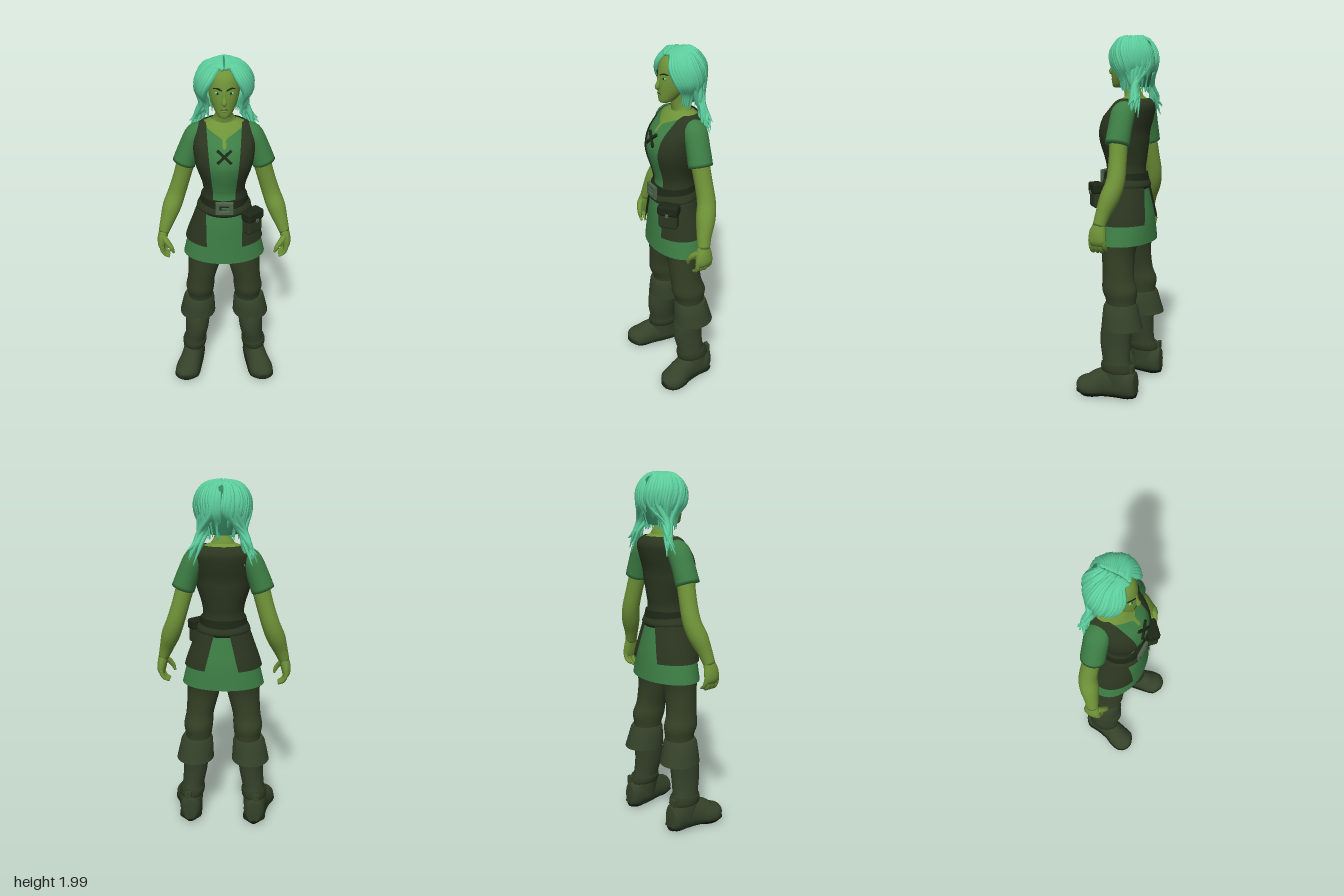
import * as THREE from 'three';
import { mergeVertices, toCreasedNormals } from 'three/addons/utils/BufferGeometryUtils.js';
import { RoundedBoxGeometry } from 'three/addons/geometries/RoundedBoxGeometry.js';

const mat = (name, color, open) => {
  const m = new THREE.MeshStandardMaterial({ color });
  m.name = name;
  if (open) m.side = THREE.DoubleSide;
  return m;
};
const V = (x, y, z) => new THREE.Vector3(x, y, z);

// Catmull-Rom interpolation of equally long rows of numbers, k steps per span
function spline(rows, k) {
  const out = [], n = rows.length, at = i => rows[Math.max(0, Math.min(n - 1, i))];
  for (let i = 0; i < n - 1; i++) for (let s = 0; s < k; s++) {
    const t = s / k;
    out.push(at(i).map((b, c) => {
      const a = at(i - 1)[c], d = at(i + 1)[c], e = at(i + 2)[c];
      return b + 0.5 * t * (d - a + t * (2 * a - 5 * b + 4 * d - e + t * (3 * (b - d) + e - a)));
    }));
  }
  out.push(rows[n - 1]);
  return out;
}

// Skin over rows of points; optional end caps
function skinOver(rows, caps) {
  const pos = [], idx = [], w = rows[0].length;
  rows.forEach(r => r.forEach(p => pos.push(p.x, p.y, p.z)));
  for (let i = 0; i < rows.length - 1; i++) for (let j = 0; j < w - 1; j++) {
    const a = i * w + j, d = a + w;
    idx.push(a, a + 1, d + 1, a, d + 1, d);
  }
  if (caps) [0, rows.length - 1].forEach(i => {
    const c = rows[i].slice(1).reduce((s, p) => s.add(p), V(0, 0, 0)).divideScalar(w - 1), ci = pos.length / 3;
    pos.push(c.x, c.y, c.z);
    for (let j = 0; j < w - 1; j++) i ? idx.push(ci, i * w + j, i * w + j + 1) : idx.push(ci, j + 1, j);
  });
  let g = new THREE.BufferGeometry();
  g.setAttribute('position', new THREE.Float32BufferAttribute(pos, 3));
  g.setIndex(idx);
  g = mergeVertices(g, 1e-5);
  g.computeVertexNormals();
  return g;
}

// Level rings, bottom to top: [y, cx, cz, rx, rz, startAngle, endAngle]
function loft(rows, { k = 4, n = 36, caps = false } = {}) {
  return skinOver(spline(rows, k).map(([y, cx, cz, rx, rz, a = 0, b = Math.PI * 2]) =>
    Array.from({ length: n + 1 }, (_, j) => {
      const t = a + (b - a) * j / n;
      return V(cx + rx * Math.sin(t), y, cz + rz * Math.cos(t));
    })), caps);
}

// Capped rings square to a path: [x, y, z, ra, rb], rb defaulting to ra
function sweep(rows, { n = 14, ref = V(0, 0, 1) } = {}) {
  const R = spline(rows.map(([x, y, z, ra, rb = ra]) => [x, y, z, ra, rb]), 4), P = R.map(r => V(r[0], r[1], r[2]));
  return skinOver(R.map((r, i) => {
    const T = P[Math.min(i + 1, P.length - 1)].clone().sub(P[Math.max(i - 1, 0)]).normalize();
    const A = T.clone().cross(ref).normalize(), B = T.clone().cross(A);
    return Array.from({ length: n + 1 }, (_, j) => {
      const t = j / n * Math.PI * 2;
      return P[i].clone().addScaledVector(A, Math.cos(t) * r[3]).addScaledVector(B, Math.sin(t) * r[4]);
    });
  }), true);
}

export function createModel() {
  const g = new THREE.Group();
  g.name = 'adventurer';
  const skin = mat('skin', 0x6f9338), shirt = mat('shirt green', 0x3d7e45, true), leather = mat('dark leather', 0x2b3620, true),
    cloth = mat('trouser cloth', 0x333f25, true), boot = mat('boot leather', 0x35422a, true), sole = mat('sole', 0x141f12),
    hair = mat('hair', 0x5fd3a0), hairShade = mat('hair shade', 0x35855f, true), metal = mat('buckle metal', 0x4a6349),
    dark = mat('dark detail', 0x1d2616, true);
  const add = (name, geo, m, x = 0, y = 0, z = 0) => {
    const mesh = new THREE.Mesh(geo, m);
    mesh.name = name;
    mesh.position.set(x, y, z);
    g.add(mesh);
    return mesh;
  };
  const ball = (name, m, p, s) => add(name, new THREE.SphereGeometry(1, 16, 10), m, ...p).scale.set(...s);
  let seed = 7;
  const rnd = () => (seed = (seed * 16807) % 2147483647) / 2147483647;

  // Torso: shirt and vest share one profile, each open at the front by a half width
  const torso = spline([[1.17, 0, -.01, .13, .112], [1.27, 0, -.01, .106, .1], [1.33, 0, -.008, .11, .108], [1.42, 0, 0, .138, .125],
    [1.48, 0, 0, .15, .129], [1.55, 0, -.02, .156, .127], [1.61, 0, -.05, .152, .107], [1.645, 0, -.058, .125, .085], [1.67, 0, -.06, .07, .055]], 6);
  const garment = (off, top, gap) => loft(torso.filter(r => r[0] <= top).map(([y, cx, cz, rx, rz]) => {
    const a = Math.asin(Math.min(.95, gap(y) / (rx + off)));
    return [y, cx, cz, rx + off, rz + off, a, Math.PI * 2 - a];
  }), { k: 1, n: 40 });
  add('shirt', garment(0, 1.653, y => y < 1.565 ? 0 : y < 1.605 ? .01 : .01 + (y - 1.605) * 2), shirt);
  add('vest', garment(.009, 1.66, y => .06 + Math.max(0, y - 1.3) * .09), leather);
  add('upper chest', garment(-.006, 1.7, () => 0), skin);
  add('neck', sweep([[0, 1.62, -.055, .085, .06], [0, 1.665, -.055, .066, .052], [0, 1.7, -.045, .046], [0, 1.76, -.03, .043]]), skin);
  for (const s of [-1, 1]) {
    const lace = add('lacing', new THREE.BoxGeometry(.1, .014, .01), dark, 0, 1.53, .119);
    lace.rotation.set(-.35, 0, s * .75);
  }

  // Tunic skirt, side flaps and belt
  const skirt = [[.87, 0, -.022, .232, .152], [1, 0, -.02, .2, .143], [1.1, 0, -.014, .165, .132], [1.22, 0, -.01, .122, .113]];
  add('tunic skirt', loft(skirt), shirt);
  for (const s of [-1, 1]) {
    const rows = spline(skirt, 6).filter(r => r[0] > .965).map(([y, cx, cz, rx, rz]) => {
      const a = Math.asin(.092 / rx), b = Math.PI - Math.asin((.03 + (1.22 - y) * .24) / rx);
      return [y, cx, cz, rx + .012, rz + .012, ...(s > 0 ? [a, b] : [-b, -a])];
    });
    add('side flap', loft(rows, { k: 1, n: 24 }), leather);
  }
  add('waist wrap', loft([[1.165, 0, -.01, .135, .124], [1.185, 0, -.01, .15, .137], [1.215, 0, -.01, .138, .127], [1.235, 0, -.01, .125, .115]]), leather);
  add('belt', toCreasedNormals(loft([[1.2, 0, -.01, .12, .112], [1.2, 0, -.01, .138, .13], [1.255, 0, -.01, .126, .12], [1.255, 0, -.01, .106, .1]], { k: 1 }), .6), dark);
  const frame = new THREE.Shape([[-.045, -.034], [.045, -.034], [.045, .034], [-.045, .034]].map(p => new THREE.Vector2(...p)));
  frame.holes.push(new THREE.Path([[-.028, -.018], [-.028, .018], [.028, .018], [.028, -.018]].map(p => new THREE.Vector2(...p))));
  add('belt buckle', new THREE.ExtrudeGeometry(frame, { depth: .012, bevelSize: .003, bevelThickness: .003, bevelSegments: 1 }), metal, 0, 1.227, .114);
  add('buckle prong', new THREE.BoxGeometry(.045, .01, .01), metal, .008, 1.227, .125);

  // Belt pouch
  const pouch = new THREE.Group();
  pouch.name = 'pouch';
  pouch.position.set(.152, 1.135, .098);
  pouch.rotation.y = .75;
  [['pouch body', [.105, .13, .06], leather, 0, 0], ['pouch flap', [.115, .06, .07], dark, .042, .002], ['pouch stud', [.018, .02, .01], metal, .02, .038]]
    .forEach(([name, size, m, y, z]) => {
      const p = new THREE.Mesh(new RoundedBoxGeometry(...size, 2, Math.min(...size) * .25), m);
      p.name = name;
      p.position.set(0, y, z);
      pouch.add(p);
    });
  g.add(pouch);

  for (const s of [-1, 1]) {
    const side = rows => rows.map(r => [r[0] * s, ...r.slice(1)]);
    const lofted = rows => rows.map(r => [r[0], r[1] * s, ...r.slice(2)]);

    // Legs and boots
    add('trouser leg', loft(lofted([[.48, .145, -.045, .07, .08], [.55, .143, -.043, .076, .086], [.61, .143, -.035, .084, .1], [.68, .135, -.022, .08, .09],
      [.8, .116, -.015, .092, .092], [.9, .108, -.02, .102, .105], [1, .1, -.02, .1, .11]]), { caps: true }), cloth);
    add('boot cuff', toCreasedNormals(loft(lofted([[.4, .16, -.055, .07, .085], [.4, .162, -.057, .108, .117], [.46, .157, -.05, .1, .107],
      [.515, .152, -.045, .092, .098], [.535, .15, -.045, .082, .09], [.535, .15, -.045, .06, .07]]), { k: 1 }), .7), boot);
    add('boot shaft', loft(lofted([[.06, .192, -.05, .064, .09], [.13, .19, -.045, .067, .092], [.2, .182, -.032, .064, .08], [.3, .168, -.02, .07, .088],
      [.38, .163, -.024, .074, .09], [.45, .158, -.035, .075, .085]])), boot);
    const foot = (lo, hi, grow) => {
      const geo = sweep(side([[.19, .08, -.155, .035, .075], [.19, .08, -.12, .06, .09], [.195, .08, -.04, .062, .1], [.21, .07, .04, .066, .085],
        [.228, .05, .1, .074, .07], [.238, .045, .15, .066, .055], [.24, .035, .176, .03, .03]]).map(r => [r[0], r[1], r[2], r[3] + grow, r[4]]),
        { n: 24, ref: V(0, 1, 0) });
      const p = geo.attributes.position;
      for (let i = 0; i < p.count; i++) p.setY(i, Math.min(hi, Math.max(lo, p.getY(i))));
      geo.computeVertexNormals();
      return geo;
    };
    add('boot foot', foot(.02, 1, 0), boot);
    add('boot sole', foot(0, .027, .004), sole);
    add('ankle strap', loft(lofted([[.15, .188, -.043, .06, .08], [.155, .188, -.043, .073, .097], [.19, .184, -.036, .072, .092], [.197, .183, -.034, .06, .08]]), { k: 2 }), leather);
    add('strap buckle', new THREE.BoxGeometry(.035, .045, .02), boot, s * .2, .175, -.138);

    // Sleeves and arms
    add('sleeve', sweep(side([[.1, 1.61, -.058, .04, .05], [.145, 1.585, -.058, .058, .065], [.182, 1.51, -.056, .06, .065], [.215, 1.42, -.054, .064, .066]]), { n: 20 }), shirt);
    add('arm', sweep(side([[.195, 1.46, -.055, .05], [.228, 1.34, -.064, .048], [.262, 1.23, -.066, .05], [.292, 1.15, -.046, .052], [.32, 1.07, -.022, .04],
      [.342, 1.005, -.008, .03, .034]]), { n: 18 }), skin);
    add('palm', sweep(side([[.338, 1.02, -.01, .027, .032], [.35, .975, -.005, .028, .046], [.356, .93, -.004, .024, .05], [.352, .905, -.004, .014, .044]])), skin);
    for (let i = 0; i < 4; i++) {
      const z = -.042 + i * .025, d = i === 0 ? .012 : 0;
      add('finger', sweep(side([[.354, .93, z, .013], [.352, .9 + d, z, .0125], [.338, .875 + d, z, .011], [.312, .86 + d, z + .004, .007]]), { n: 8 }), skin);
    }
    add('thumb', sweep(side([[.342, .985, .025, .017], [.318, .96, .046, .016], [.298, .93, .055, .013], [.288, .9, .055, .007]]), { n: 8, ref: V(0, .3, 1) }), skin);

    // Eyes and brows
    ball('eye', hair, [s * .033, 1.85, .059], [.015, .007, .006]);
    ball('pupil', dark, [s * .033, 1.85, .064], [.006, .006, .003]);
    add('brow', sweep(side([[.012, 1.865, .072, .003], [.034, 1.875, .063, .004], [.055, 1.869, .046, .002]]), { n: 6, ref: V(0, 1, 0) }), dark);
  }

  // Head and face
  add('head', loft([[1.716, 0, .035, .014, .018], [1.726, 0, .028, .034, .042], [1.77, 0, .003, .06, .07], [1.82, 0, -.02, .077, .094], [1.88, 0, -.036, .084, .104],
    [1.93, 0, -.045, .078, .095], [1.97, 0, -.05, .045, .055]], { caps: true }), skin);
  add('nose', sweep([[0, 1.87, .064, .006], [0, 1.83, .074, .009], [0, 1.803, .082, .014, .012], [0, 1.793, .074, .008]], { n: 10 }), skin);
  ball('mouth', dark, [0, 1.767, .071], [.02, .0025, .005]);
  ball('lower lip', skin, [0, 1.76, .07], [.016, .005, .007]);

  // Hair: under layer open at the face, then locks falling from a centre parting
  const cap = [[1.72, .085, .08, 1.5], [1.8, .112, .1, 1.25], [1.88, .118, .108, 1], [1.93, .105, .1, .7], [1.965, .075, .08, .1], [1.985, .02, .03, 0]];
  add('hair under layer', loft(cap.map(([y, rx, rz, a]) => [y, 0, -.055, rx, rz, a, Math.PI * 2 - a])), hairShade);
  for (const s of [-1, 1]) for (let layer = 0; layer < 2; layer++) for (let i = 0; i < 19; i++) {
    const u = (i + layer * .5) / 19, a = .4 + u * 2.7, f = 1 - layer * .06 + rnd() * .05, rad = .012 + rnd() * .004;
    const on = (e, turn) => {
      const t = Math.min(a + turn * (1 - u), 3.1), c = Math.cos(e);
      return [s * .134 * f * c * Math.sin(t), 1.86 + .128 * f * Math.sin(e), -.052 + .118 * f * c * Math.cos(t)];
    };
    const low = on(-.75, .75), drop = u > .3 && rnd() > .35;
    const path = [[s * .004, 1.978 + rnd() * .008 - Math.max(0, .2 - u) * .1, .035 - u * .15, rad * .6], [...on(.9, 0), rad],
      [...on(.35, .2), rad * 1.15], [...on(-.2, .5), rad * 1.1]];
    if (drop) {
      const x = .105 + rnd() * .045;
      path.push([s * (.085 + rnd() * .035), 1.74, low[2] * .5 - .05, rad], [s * x, 1.67, -.1 - rnd() * .035, rad * .8],
        [s * (x + .01 + rnd() * .035), 1.56 + rnd() * .08, -.09 - rnd() * .07, .002]);
    } else path.push([...low, rad * .8], [low[0] * .9, 1.74 - rnd() * .05, low[2] * .95, .002]);
    add('hair lock', sweep(path, { n: 6, ref: V(.1, .05, 1) }), hair);
  }
  return g;
}
